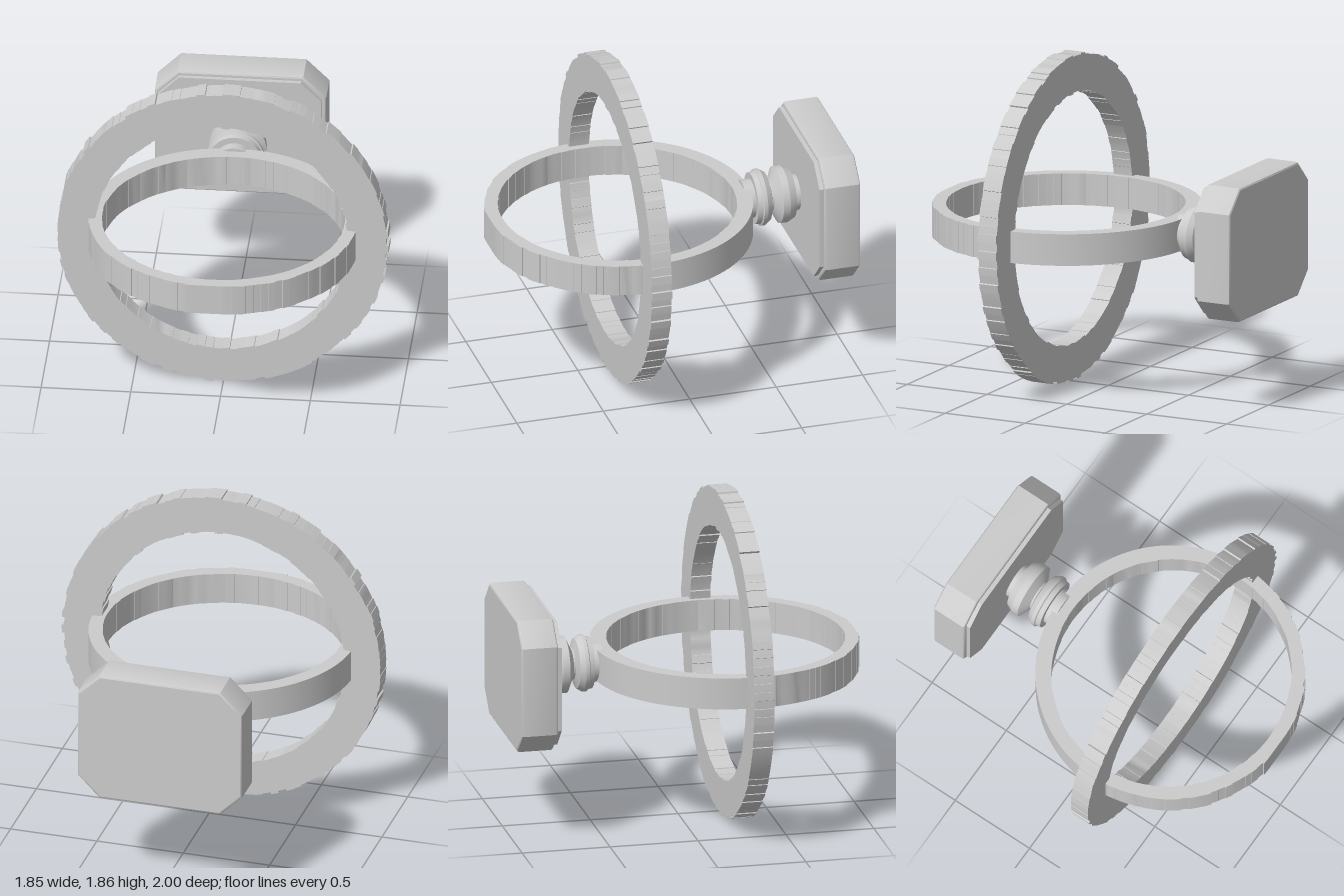
import * as THREE from 'three';
import { toCreasedNormals } from 'three/addons/utils/BufferGeometryUtils.js';

const grey = new THREE.MeshStandardMaterial({ color: 0xcccccc });

// Small seeded generator for the uneven rim steps
let seed = 7;
function random() {
  seed = (seed * 16807) % 2147483647;
  return seed / 2147483647;
}

// Ellipse outline broken into small radial steps where rough(angle) is above zero
function steppedOutline(cx, cy, rx, ry, teeth, rough) {
  const points = [];
  for (let i = 0; i < teeth; i++) {
    const a0 = (i / teeth) * Math.PI * 2;
    const a1 = ((i + 0.97) / teeth) * Math.PI * 2;
    const k = (random() - 0.5) * rough(a0);
    for (const a of [a0, a1]) {
      points.push(new THREE.Vector2(cx + (rx + k) * Math.cos(a), cy + (ry + k) * Math.sin(a)));
    }
  }
  return points;
}

function ringGeometry(outer, inner, depth) {
  const shape = new THREE.Shape(outer);
  shape.holes.push(new THREE.Path(inner));
  return new THREE.ExtrudeGeometry(shape, { depth, bevelEnabled: false });
}

// Rectangle with its four corners cut off
function cutCornerShape(w, h, c) {
  const x = w / 2, y = h / 2;
  return new THREE.Shape([
    [x, -y + c], [x, y - c], [x - c, y], [-x + c, y],
    [-x, y - c], [-x, -y + c], [-x + c, -y], [x - c, -y],
  ].map(([px, py]) => new THREE.Vector2(px, py)));
}

export function createModel() {
  const group = new THREE.Group();
  const add = (name, geometry, crease = 0.5) => {
    const mesh = new THREE.Mesh(toCreasedNormals(geometry, crease), grey);
    mesh.name = name;
    group.add(mesh);
    return mesh;
  };

  // Large upright ring with stepped rims
  const upright = ringGeometry(
    steppedOutline(-0.005, 0.94, 0.92, 0.922, 120, () => 0.016),
    steppedOutline(-0.01, 0.937, 0.709, 0.713, 96, () => 0.01),
    0.115);
  upright.translate(0, 0, 0.225);
  add('uprightRing', upright);

  // Level ring: pleated at the front, smooth at the back, flattened at its foremost point
  const pleats = (a) => (Math.sin(a) > 0.1 ? 0.009 : 0);
  const outer = steppedOutline(-0.005, 0.262, 0.75, 0.746, 110, pleats);
  outer.forEach((p) => { p.y = Math.min(p.y, 1.0); });
  const level = ringGeometry(
    outer,
    steppedOutline(-0.005, 0.27, 0.675, 0.662, 96, () => 0.004),
    0.18);
  level.rotateX(Math.PI / 2);
  level.translate(0, 1.025, 0);
  add('levelRing', level);

  // Turned stem joining the level ring to the plate: [radius, distance behind centre]
  const profile = [
    [0, 0.45], [0.11, 0.45], [0.11, 0.507], [0.145, 0.507], [0.15, 0.535],
    [0.16, 0.54], [0.16, 0.56], [0.14, 0.59], [0.088, 0.605], [0.088, 0.615],
    [0.16, 0.65], [0.16, 0.69], [0.14, 0.732], [0.1, 0.74], [0.1, 0.785], [0, 0.785],
  ].map(([r, d]) => new THREE.Vector2(r, d));
  const stem = new THREE.LatheGeometry(profile, 40);
  stem.rotateX(-Math.PI / 2);
  stem.translate(-0.015, 0.935, 0);
  add('stem', stem, 0.4);

  // Back plate with bevelled rear edge
  const plate = new THREE.ExtrudeGeometry(cutCornerShape(0.931, 0.741, 0.12), {
    depth: 0.175, bevelThickness: 0.016, bevelSize: 0.012, bevelSegments: 2,
  });
  plate.translate(-0.012, 0.938, -0.983);
  add('backPlate', plate);

  // Shallow raised panel on the front of the plate
  const panel = new THREE.ExtrudeGeometry(cutCornerShape(0.91, 0.715, 0.115), {
    depth: 0.03, bevelEnabled: false,
  });
  panel.translate(-0.012, 0.938, -0.797);
  add('platePanel', panel);

  return group;
}
